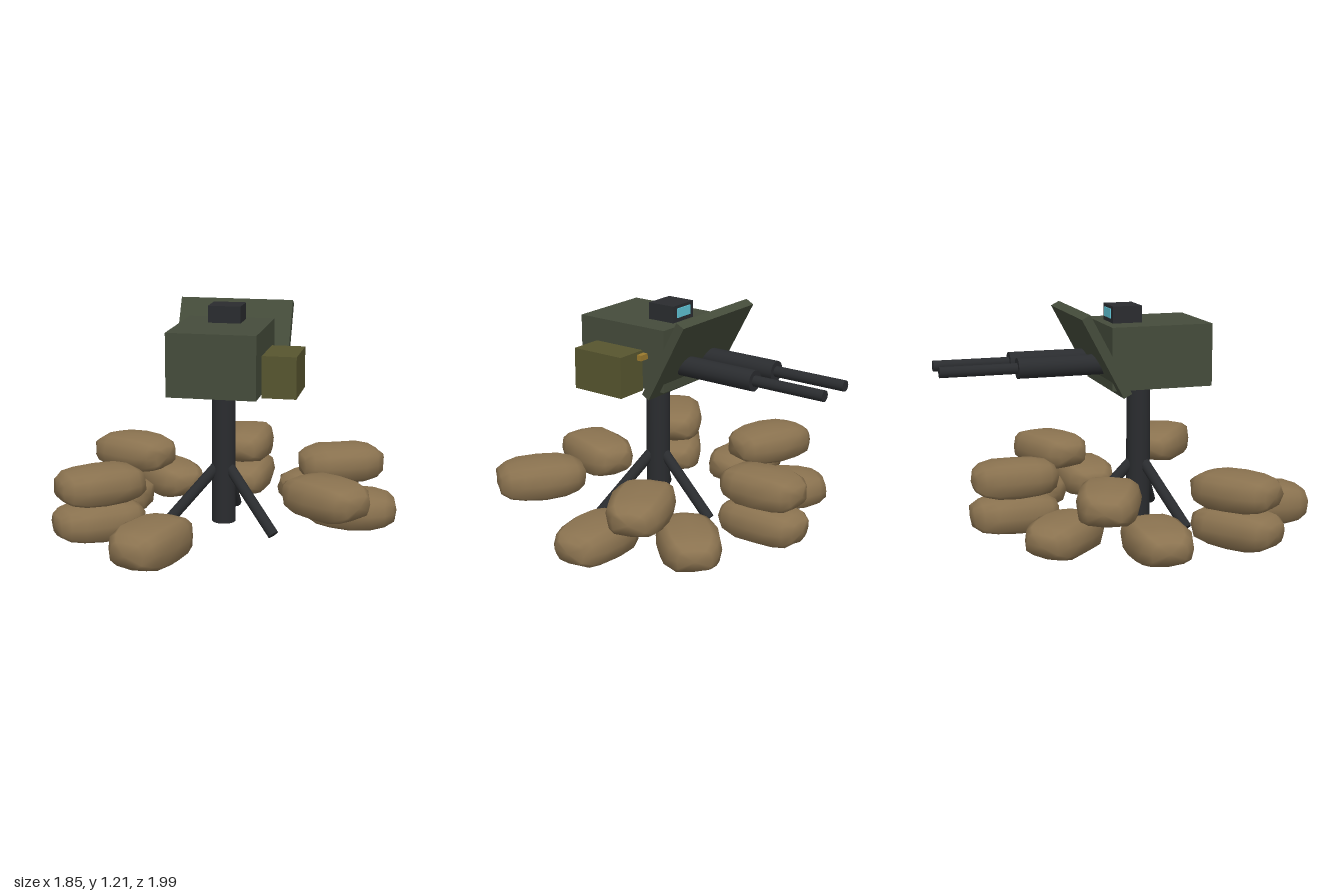
import * as THREE from 'three';
import { mergeVertices } from 'three/addons/utils/BufferGeometryUtils.js';

const mat = (color) => new THREE.MeshStandardMaterial({ color });
const steel = mat(0x2a2c2f), armour = mat(0x454c3b), ammoPaint = mat(0x57552f);
const brass = mat(0x9a7a2e), glass = mat(0x5fc4d6), burlap = mat(0x8b7350);

function random(seed) {
  let s = seed * 7919 + 17;
  return () => (s = (s * 16807) % 2147483647) / 2147483647;
}

export function createModel() {
  const model = new THREE.Group();

  const add = (name, geometry, material, x, y, z) => {
    const mesh = new THREE.Mesh(geometry, material);
    mesh.name = name;
    mesh.position.set(x, y, z);
    model.add(mesh);
    return mesh;
  };
  const box = (name, w, h, d, material, x, y, z) =>
    add(name, new THREE.BoxGeometry(w, h, d), material, x, y, z);

  // Cylinder between two points
  const rod = (name, a, b, radius, material, sides = 16) => {
    const from = new THREE.Vector3(...a), to = new THREE.Vector3(...b);
    const dir = to.clone().sub(from);
    const mesh = add(name, new THREE.CylinderGeometry(radius, radius, dir.length(), sides), material, 0, 0, 0);
    mesh.position.copy(from).add(to).multiplyScalar(0.5);
    mesh.quaternion.setFromUnitVectors(new THREE.Vector3(0, 1, 0), dir.normalize());
  };

  // Pedestal with three splayed legs
  rod('pedestal', [0, 0.04, 0.1], [0, 0.76, 0.1], 0.065, steel);
  for (let i = 0; i < 3; i++) {
    const a = Math.PI / 6 + (i * Math.PI * 2) / 3;
    const at = (r, y) => [Math.cos(a) * r, y, 0.1 + Math.sin(a) * r];
    rod('leg', at(0.035, 0.355), at(0.35, 0.035), 0.03, steel, 12);
  }

  // Gun housing, tilted shield, ammunition box and feed
  box('housing', 0.47, 0.335, 0.555, armour, 0, 0.96, 0.158);
  box('shield', 0.625, 0.475, 0.05, armour, 0, 0.988, -0.17).rotation.x = -0.49;
  box('ammoBox', 0.18, 0.22, 0.31, ammoPaint, 0.333, 0.895, 0.168);
  box('ammoFeed', 0.06, 0.03, 0.03, brass, 0.26, 0.975, 0.0);
  box('beltLink', 0.05, 0.03, 0.06, brass, 0.26, 0.975, 0.025);

  // Sight with a window towards the muzzles
  box('sight', 0.175, 0.09, 0.16, steel, 0, 1.173, 0.01);
  box('sightWindow', 0.11, 0.05, 0.008, glass, 0, 1.177, -0.073);

  // Twin barrels
  for (const x of [-0.1, 0.1]) {
    rod('barrelJacket', [x, 0.918, -0.1], [x, 0.918, -0.595], 0.055, steel);
    rod('barrel', [x, 0.918, -0.59], [x, 0.918, -1], 0.029, steel, 12);
  }

  // Lumpy sandbag: a squared-off ellipsoid lying along x
  const power = (v, e) => Math.sign(v) * Math.pow(Math.abs(v), e);
  const sandbag = (seed, x, y, z, length = 0.48, width = 0.32, height = 0.2) => {
    const rnd = random(seed);
    let geo = new THREE.SphereGeometry(1, 12, 8);
    geo.rotateZ(Math.PI / 2);
    geo.deleteAttribute('uv');
    geo.deleteAttribute('normal');
    geo = mergeVertices(geo, 1e-4);
    const p = geo.attributes.position;
    for (let i = 0; i < p.count; i++) {
      const r = Math.hypot(p.getY(i), p.getZ(i)) || 1e-6;
      const girth = Math.pow(r, 0.62), lump = 0.97 + rnd() * 0.07;
      p.setXYZ(i,
        power(p.getX(i), 0.8) * length / 2 * (0.97 + rnd() * 0.05),
        power(p.getY(i) / r, 0.6) * girth * height / 2 * lump,
        power(p.getZ(i) / r, 0.6) * girth * width / 2 * lump);
    }
    geo.computeVertexNormals();
    add('sandbag', geo, burlap, x, y, z).rotation.y = Math.atan2(-z, x);
  };

  // Ring of bags pointing at the centre, in two layers
  const low = 0.115, high = 0.308;
  sandbag(1, 0, low, -0.6, 0.49, 0.3);
  sandbag(2, 0, high, -0.595, 0.47, 0.3);
  for (const s of [-1, 1]) {
    sandbag(5 + s, s * 0.45, low, -0.44);
    sandbag(9 + s, s * 0.595, high, -0.25);
    sandbag(13 + s, s * 0.685, low, -0.03, 0.49, 0.33);
    sandbag(17 + s, s * 0.595, high, 0.435);
  }
  sandbag(21, -0.605, low, 0.44, 0.49, 0.32);
  sandbag(22, -0.235, 0.125, 0.752, 0.49, 0.33, 0.22);

  return model;
}
